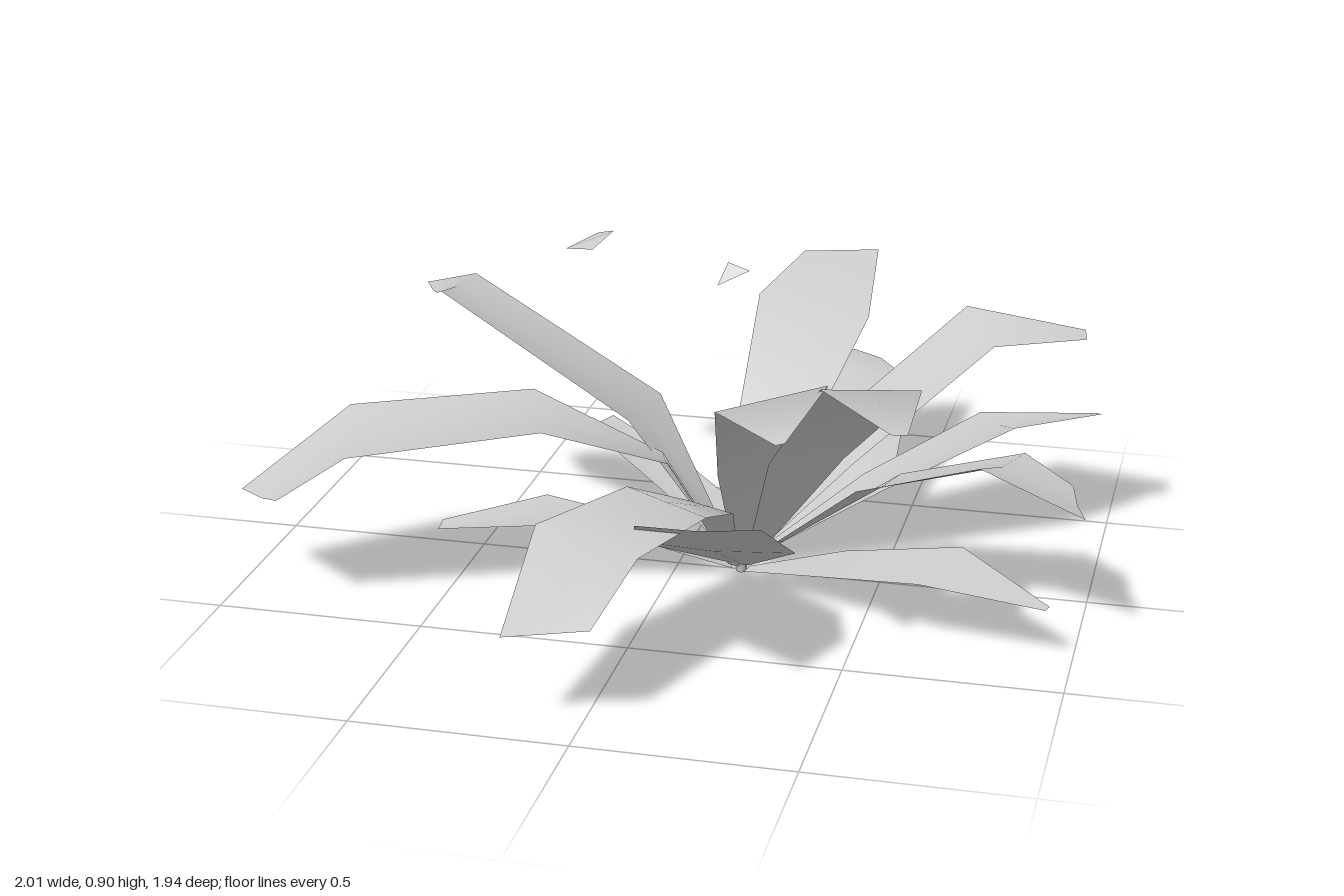
import * as THREE from 'three';

const leafGrey = new THREE.MeshStandardMaterial({ color: 0xcccccc, side: THREE.DoubleSide });
leafGrey.name = 'leafGrey';

function surface(name, positions, index) {
  const geometry = new THREE.BufferGeometry();
  geometry.setAttribute('position', new THREE.Float32BufferAttribute(positions, 3));
  geometry.setIndex(index);
  geometry.computeVertexNormals();
  const mesh = new THREE.Mesh(geometry, leafGrey);
  mesh.name = name;
  return mesh;
}

// A blade from rows of [x, y, z, halfWidth]; the midrib is sunk by fold * halfWidth.
// skew slides the blunt tip's two corners along the blade, roll lowers its right edge.
function leaf(name, rows, { skew = 0, roll = 0, fold = 0.1 } = {}) {
  const spine = rows.map(([x, y, z]) => new THREE.Vector3(x, y, z));
  const last = spine.length - 1;
  const positions = [];
  const index = [];
  spine.forEach((p, i) => {
    const along = spine[Math.min(i + 1, last)].clone().sub(spine[Math.max(i - 1, 0)]).normalize();
    const side = new THREE.Vector3(-along.z, 0, along.x).normalize().applyAxisAngle(along, roll);
    const normal = side.clone().cross(along).normalize();
    const w = rows[i][3];
    for (const s of [-1, 0, 1]) {
      const v = p.clone().addScaledVector(side, s * w);
      if (s === 0) v.addScaledVector(normal, -fold * w);
      if (i === last) v.addScaledVector(along, -s * skew);
      positions.push(v.x, v.y, v.z);
    }
    if (i < last) {
      for (let c = 0; c < 2; c++) {
        const a = i * 3 + c;
        index.push(a, a + 1, a + 3, a + 1, a + 4, a + 3);
      }
    }
  });
  return surface(name, positions, index);
}

export function createModel() {
  const plant = new THREE.Group();
  plant.name = 'leafyPlant';

  // Leaves on the -x side
  plant.add(
    leaf('archingSideLeaf', [[0.14, 0.03, 0.03, 0.015], [-0.01, 0.31, 0.09, 0.04],
      [-0.29, 0.455, 0.22, 0.15], [-0.72, 0.41, 0.34, 0.18], [-0.92, 0.26, 0.42, 0.115]], { skew: -0.05 }),
    leaf('tallSideLeaf', [[0.14, 0.03, 0, 0.015], [-0.09, 0.395, -0.02, 0.125],
      [-0.58, 0.65, -0.1, 0.11], [-0.645, 0.635, -0.09, 0.09]], { skew: -0.03, roll: 0.1 }),
    leaf('lowSideLeaf', [[0.14, 0.02, 0.03, 0.015], [-0.05, 0.1, 0.06, 0.07],
      [-0.32, 0.15, 0.1, 0.1], [-0.57, 0.1, 0.13, 0.03]]),
    leaf('shortBackLeaf', [[0.14, 0.03, -0.02, 0.015], [0.08, 0.09, -0.11, 0.07],
      [-0.1, 0.16, -0.23, 0.07], [-0.285, 0.23, -0.325, 0.05]]),
  );

  // Leaves toward the front
  plant.add(
    leaf('archingFrontLeaf', [[0.15, 0.03, 0.05, 0.015], [0.13, 0.25, 0.22, 0.06],
      [0.08, 0.35, 0.45, 0.11], [-0.04, 0.345, 0.7, 0.13], [-0.065, 0.23, 0.945, 0.09]],
    { skew: -0.035, roll: -0.12, fold: 0 }),
    leaf('broadFrontLeaf', [[0.17, 0.03, 0.04, 0.015], [0.17, 0.21, 0.36, 0.19],
      [0.2, 0.38, 0.65, 0.14], [0.24, 0.46, 0.85, 0.005]], { fold: 0.05 }),
    leaf('tallFrontLeaf', [[0.17, 0.04, 0.05, 0.015], [0.23, 0.35, 0.2, 0.09],
      [0.32, 0.62, 0.45, 0.13], [0.385, 0.6, 0.67, 0.01]], { roll: 0.2, fold: 0 }),
    leaf('tallFrontSideLeaf', [[0.19, 0.05, 0.04, 0.015], [0.35, 0.37, 0.18, 0.1],
      [0.53, 0.63, 0.37, 0.125], [0.62, 0.59, 0.53, 0.02]], { roll: -0.15, fold: 0 }),
  );

  // Leaves on the +x side
  plant.add(
    leaf('broadSideLeaf', [[0.2, 0.05, 0.02, 0.015], [0.5, 0.28, 0.05, 0.13],
      [0.8, 0.39, 0.12, 0.14], [0.985, 0.325, 0.175, 0.095]], { skew: -0.05, roll: -0.2 }),
    leaf('lowestSideLeaf', [[0.18, 0.02, 0.04, 0.015], [0.4, 0.09, 0.12, 0.07],
      [0.68, 0.165, 0.24, 0.1], [0.94, 0.13, 0.345, 0.01]], { roll: 0.12, fold: 0 }),
    leaf('tallBackSideLeaf', [[0.2, 0.06, -0.03, 0.015], [0.36, 0.28, -0.15, 0.1],
      [0.68, 0.56, -0.33, 0.13], [0.935, 0.545, -0.37, 0.03]], { roll: 0.08, fold: 0 }),
    leaf('lowBackSideLeaf', [[0.2, 0.04, -0.03, 0.015], [0.45, 0.18, -0.2, 0.1],
      [0.73, 0.315, -0.34, 0.13], [0.97, 0.3, -0.485, 0.01]], { roll: -0.2 }),
  );

  // Leaves toward the back
  plant.add(
    leaf('tallBackLeaf', [[0.18, 0.06, -0.04, 0.015], [0.185, 0.28, -0.22, 0.09],
      [0.22, 0.5, -0.57, 0.145], [0.245, 0.575, -0.82, 0.09]], { skew: -0.04, roll: 0.15, fold: 0 }),
    leaf('broadBackLeaf', [[0.19, 0.03, -0.05, 0.015], [0.31, 0.15, -0.42, 0.16],
      [0.31, 0.26, -0.74, 0.14], [0.265, 0.25, -0.945, 0.07]], { skew: 0.04, roll: 0.08, fold: -0.1 }),
    leaf('lowestBackLeaf', [[0.17, 0.03, -0.04, 0.015], [0.11, 0.115, -0.46, 0.12],
      [0.15, 0.075, -0.83, 0.01]]),
  );

  // Loose leaf tips above the rosette
  plant.add(
    surface('looseBackTip', [-0.4, 0.65, -0.43, -0.31, 0.675, -0.36, -0.27, 0.71, -0.42,
      -0.33, 0.68, -0.49], [0, 1, 2, 0, 2, 3]),
    surface('looseFrontTip', [0.2, 0.9, 0.36, 0.185, 0.857, 0.4, 0.25, 0.885, 0.365], [0, 1, 2]),
  );

  // Short stub where the leaves meet
  const stub = new THREE.Mesh(new THREE.CylinderGeometry(0.02, 0.012, 0.04, 6), leafGrey);
  stub.name = 'rootStub';
  stub.position.set(0.16, 0.02, 0.01);
  plant.add(stub);
  return plant;
}
